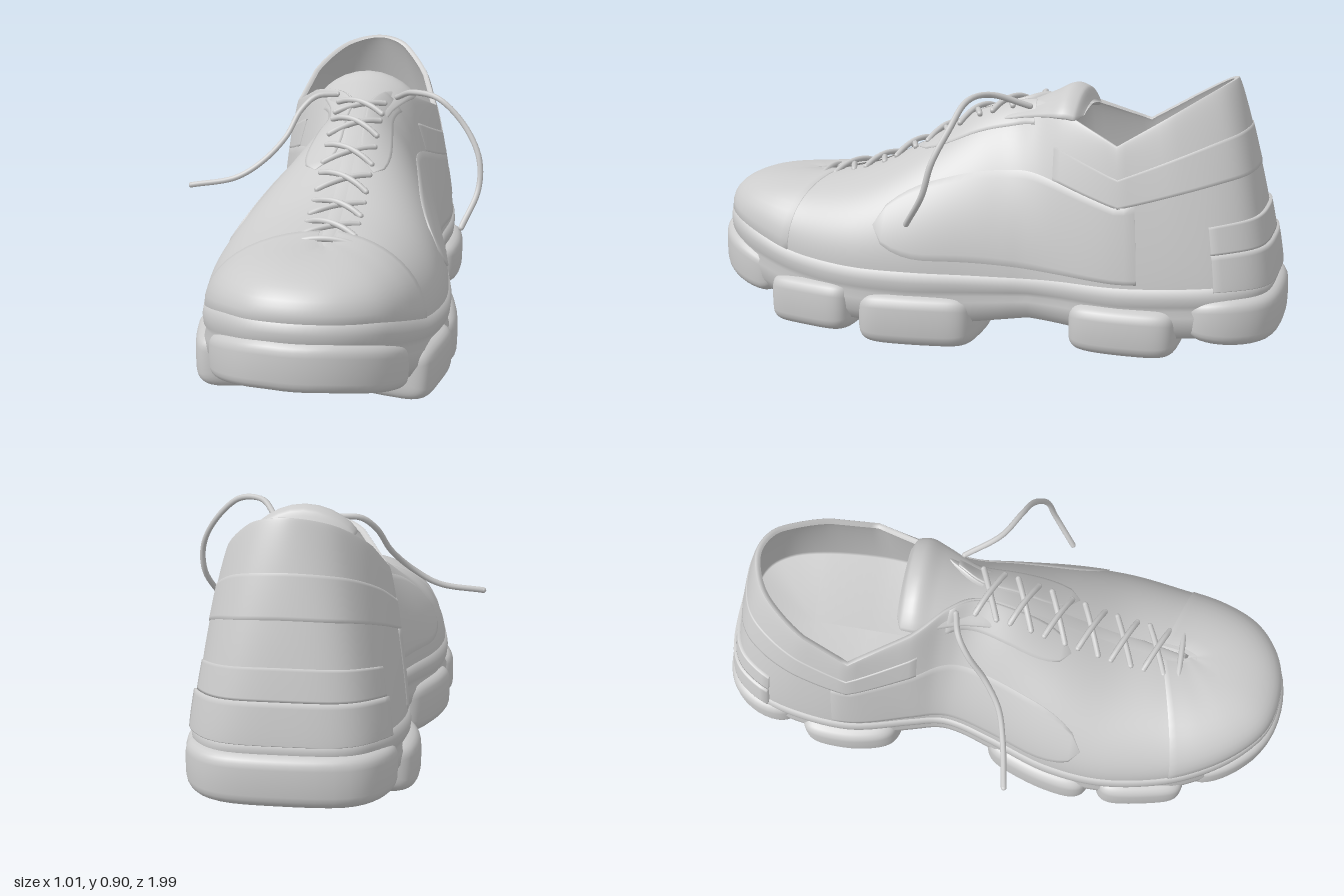
import * as THREE from 'three';
import { mergeVertices } from 'three/addons/utils/BufferGeometryUtils.js';

const V = (x, y, z) => new THREE.Vector3(x, y, z);
const mat = new THREE.MeshStandardMaterial({ color: 0xcccccc });
const thinMat = new THREE.MeshStandardMaterial({ color: 0xcccccc, side: THREE.DoubleSide });
const mix = THREE.MathUtils.lerp, clamp = THREE.MathUtils.clamp;

// Stations from toe to heel: sole edge z, left x, right x, y; top edge z, left x, right x, y; section fullness
const STATIONS = [
  [.97, .04, .04, .37, .64, .065, .065, .505, .75],
  [.945, .165, -.09, .365, .64, .066, .064, .505, .75],
  [.87, .27, -.185, .35, .63, .07, .06, .507, .8],
  [.75, .34, -.265, .315, .60, .08, .05, .51, .85],
  [.60, .385, -.32, .275, .52, .085, .045, .525, .95],
  [.40, .415, -.35, .255, .38, .085, .045, .565, 1],
  [.20, .405, -.33, .25, .20, .085, .045, .66, 1.1],
  [.00, .37, -.265, .25, .05, .088, .042, .75, 1.2],
  [-.12, .35, -.23, .25, -.08, .09, .04, .79, 1.3],
  [-.20, .338, -.225, .25, -.17, .13, -.02, .81, 1.4],
  [-.30, .335, -.25, .25, -.28, .20, -.13, .785, 1.5],
  [-.50, .35, -.30, .25, -.475, .285, -.235, .702, 1.6],
  [-.70, .33, -.29, .26, -.62, .235, -.20, .79, 1.65],
  [-.85, .285, -.245, .27, -.73, .165, -.13, .857, 1.7],
  [-.935, .195, -.155, .27, -.785, .11, -.06, .888, 1.7],
  [-.95, .03, .03, .27, -.81, .03, .03, .90, 1.7],
];
const N = 30; // stations once round: toe, left side, heel, right side
const loop = (make) => new THREE.CatmullRomCurve3(Array.from({ length: N }, (_, i) =>
  i <= 15 ? make(STATIONS[i], 0) : make(STATIONS[N - i], 1)), true, 'catmullrom', 0.5);
const bottomCurve = loop((s, r) => V(s[1 + r], s[3], s[0]));
const topCurve = loop((s, r) => V(s[5 + r], s[7], s[4]));
const fullCurve = loop((s) => V(s[8], 0, 0));
const at = (curve, u) => curve.getPoint((((u / N) % 1) + 1) % 1);

// Top edge, straight on both sides of the low point of the collar so that it stays sharp
function topAt(u) {
  if (Math.abs(Math.abs(u - 15) - 4) >= 1) return at(topCurve, u);
  const i = Math.floor(u);
  return at(topCurve, i).lerp(at(topCurve, i + 1), u - i);
}

// Piecewise linear lookup in [key, value] pairs with falling keys
function lookup(table, k) {
  for (let i = 1; i < table.length; i++) {
    const [a, va] = table[i - 1], [b, vb] = table[i];
    if (k >= b) return mix(va, vb, clamp((a - k) / (a - b), 0, 1));
  }
  return table[table.length - 1][1];
}

// Point on the upper: u in stations, v from sole edge (0) to top edge (1)
function skin(u, v) {
  const b = at(bottomCurve, u), t = topAt(u), p = at(fullCurve, u).x;
  const s = v * Math.PI / 2;
  const h = 1 - Math.pow(Math.max(Math.cos(s), 0), p), g = Math.pow(Math.sin(s), p);
  return V(mix(b.x, t.x, h), mix(b.y, t.y, g), mix(b.z, t.z, h));
}
function skinOff(u, v, off) {
  const w = clamp(v, .06, .94), e = .03;
  const du = skin(u + e, w).sub(skin(u - e, w)), dv = skin(u, w + e).sub(skin(u, w - e));
  return skin(u, v).addScaledVector(du.cross(dv).normalize(), off);
}

// Smooth grid surface from a rule fn(i, j)
function grid(name, nu, nv, fn, material = mat) {
  const pos = [], idx = [];
  for (let j = 0; j <= nv; j++) for (let i = 0; i <= nu; i++) pos.push(...fn(i, j).toArray());
  for (let j = 0; j < nv; j++) for (let i = 0; i < nu; i++) {
    const a = j * (nu + 1) + i, c = a + nu + 1;
    idx.push(a, a + 1, c + 1, a, c + 1, c);
  }
  let geo = new THREE.BufferGeometry();
  geo.setAttribute('position', new THREE.Float32BufferAttribute(pos, 3));
  geo.setIndex(idx);
  geo = mergeVertices(geo, 1e-5);
  geo.computeVertexNormals();
  const mesh = new THREE.Mesh(geo, material);
  mesh.name = name;
  return mesh;
}

// Raised overlay on the upper with a stepped border; round > 0 rounds the end nearer the toe
function panel(name, u0, u1, v0, v1, off, round = 0) {
  const nu = Math.max(12, Math.round((u1 - u0) * 6)), nv = 14;
  return grid(name, nu, nv, (i, j) => {
    const s = clamp((i - 1) / (nu - 2), 0, 1), t = clamp((j - 1) / (nv - 2), 0, 1);
    const edge = i === 0 || j === 0 || i === nu || j === nv;
    const front = u0 < N / 2 ? s : 1 - s;
    const k = front < round ? Math.sqrt(1 - (1 - front / round) ** 2) : 1;
    const v = (v0 + v1) / 2 + (t - .5) * (v1 - v0) * k;
    return skinOff(mix(u0, u1, s), v, edge ? -.004 : off);
  }, thinMat);
}

// Sole edge helpers
const corePoint = (b) => V(.04, b.y, clamp(b.z, -.7, .6));
const outset = (b, o) => b.clone().addScaledVector(b.clone().sub(corePoint(b)).setY(0).normalize(), o);
const UNDERSIDE = [[1, .21], [.8, .13], [.5, .08], [.2, .065], [-.02, .09], [-.2, .115], [-.35, .1], [-.5, .085], [-.8, .1], [-1, .15]];

// Tread block following the sole edge, full on the outside and sloping away on the inside
function lug(name, u0, u1, y0, y1, out, depth, lift = 0) {
  const nu = 36, nv = 32;
  const pw = (c, k) => Math.sign(c) * Math.pow(Math.abs(c), k);
  return grid(name, nu, nv, (i, j) => {
    const t = -Math.cos(i / nu * Math.PI), e = Math.pow(Math.max(0, 1 - Math.abs(t) ** 6), 1 / 4);
    const b = at(bottomCurve, mix(u0, u1, (t + 1) / 2));
    const a = (j % nv) / nv * Math.PI * 2, c = Math.cos(a), k = c < 0 ? .75 : .45;
    const rise = lift * clamp((b.z - .76) / .2, 0, 1);
    const p = outset(b, (out - depth) / 2 + (out + depth) / 2 * pw(c, k) * e);
    p.y = (y0 + y1) / 2 + rise + (y1 - y0) / 2 * pw(Math.sin(a), k) * e;
    return p;
  });
}

function tube(name, pts, r, seg) {
  const curve = new THREE.CatmullRomCurve3(pts);
  const g = new THREE.Group();
  g.name = name;
  g.add(new THREE.Mesh(new THREE.TubeGeometry(curve, seg, r, 8), mat));
  for (const p of [pts[0], pts[pts.length - 1]]) {
    const cap = new THREE.Mesh(new THREE.SphereGeometry(r, 8, 6), mat);
    cap.position.copy(p);
    g.add(cap);
  }
  return g;
}

export function createModel() {
  const shoe = new THREE.Group();
  shoe.name = 'shoe';

  // Upper, with its collar rim, lining and inner floor
  shoe.add(grid('upper', 180, 28, (i, j) => skin(i / 6, j / 28), thinMat));
  shoe.add(grid('collarRim', 84, 4, (i, j) => {
    const p = skinOff(8 + i / 6, 1, -.018 * j / 4);
    p.y += .003 * Math.sin(j / 4 * Math.PI);
    return p;
  }, thinMat));
  shoe.add(grid('lining', 84, 16, (i, j) => {
    const p = skinOff(8 + i / 6, .16 + .84 * Math.max(0, j - 1) / 15, -.018);
    return j ? p : V(.04, .31, clamp(p.z, -.7, -.1));
  }, thinMat));

  // Overlays on the upper
  shoe.add(panel('toeCap', -3.8, 3.8, .02, .985, .004));
  shoe.add(panel('heelCounter', 12.6, 17.4, 0, .25, .018));
  shoe.add(panel('heelBand', 12.6, 17.4, .25, .36, .01));
  shoe.add(panel('collarBand', 9.8, 20.2, .5, .65, .003));

  // Paired side overlays and tread blocks
  for (const side of [(a, b) => [a, b], (a, b) => [N - b, N - a]]) {
    shoe.add(panel('eyestay', ...side(5.8, 9), .72, .97, .004, .3));
    shoe.add(panel('sidePanel', ...side(5.4, 11.3), .1, .5, .004, .16));
    shoe.add(lug('frontLug', ...side(3.3, 5.05), .03, .21, .035, .28));
    shoe.add(lug('middleLug', ...side(5.12, 7.15), .003, .19, .033, .3));
    shoe.add(lug('rearLug', ...side(10.2, 11.95), .035, .2, .042, .24));
  }

  // Tread blocks wrapping the toe and heel
  shoe.add(lug('toeLug', -3.2, 3.2, .1, .265, .03, .2, .065));
  shoe.add(lug('heelLug', 12.1, 17.9, .085, .25, .04, .2));

  // Midsole: underside from the centre out (3 rows), then the grooved side wall
  const wall = [[-.06, 0], [-.02, .05], [.002, .25], [.007, .5], [-.002, .62], [.007, .72], [.01, .88], [.004, 1.06], [-.03, 1.1]];
  shoe.add(grid('midsole', 180, wall.length + 2, (i, j) => {
    const b = at(bottomCurve, i / 6);
    const [o, f] = wall[Math.max(0, j - 3)];
    const p = outset(b, o).lerp(corePoint(b), Math.max(0, 1 - j / 3));
    p.y = mix(lookup(UNDERSIDE, j < 3 ? p.z : b.z), b.y, f);
    return p;
  }, thinMat));

  // Padded tongue: z, y, half width, half thickness
  const T = [[.62, .47, .02, .008], [.35, .553, .05, .01], [.15, .665, .07, .012], [0, .74, .09, .014],
    [-.12, .775, .11, .016], [-.22, .81, .15, .024], [-.28, .825, .17, .036], [-.32, .815, .165, .034], [-.34, .8, .12, .006]];
  const line = new THREE.CatmullRomCurve3(T.map((s) => V(0, s[1], s[0])));
  const size = new THREE.CatmullRomCurve3(T.map((s) => V(s[2], s[3], 0)));
  shoe.add(grid('tongue', 48, 24, (i, j) => {
    const c = line.getPoint(i / 48), w = size.getPoint(i / 48), a = (j % 24) / 24 * Math.PI * 2;
    const x = w.x * Math.cos(a);
    return V(.06 + x, c.y + w.y * Math.sin(a) - 1.8 * x * x, c.z);
  }, thinMat));

  // Laces: one straight bar, then crossings up the throat
  const throat = STATIONS.slice(2, 11).map((s) => [s[4], s[7]]);
  const bar = (name, z0, z1, lift) => tube(name, [-1, -.6, 0, .6, 1].map((k) => {
    const z = mix(z0, z1, (k + 1) / 2);
    return V(.065 + .08 * k, lookup(throat, z) + .007 - .012 * k * k + lift * (1 - k * k), z);
  }), .01, 14);
  shoe.add(bar('laceBar', .605, .605, 0));
  for (let i = 0; i < 6; i++) {
    const z = .555 - i * .115;
    shoe.add(bar('laceCross', z, z - .07, 0));
    shoe.add(bar('laceCross', z - .07, z, .01));
  }
  shoe.add(tube('leftLaceEnd', [V(.18, .795, -.16), V(.25, .838, -.05), V(.34, .83, 0), V(.43, .75, .03),
    V(.485, .65, .07), V(.488, .55, .1), V(.44, .437, .175)], .01, 40));
  shoe.add(tube('rightLaceEnd', [V(-.03, .8, -.15), V(-.1, .795, -.13), V(-.15, .75, -.09), V(-.19, .67, -.03),
    V(-.26, .595, .03), V(-.35, .54, .06), V(-.5, .515, .09)], .01, 40));
  return shoe;
}
